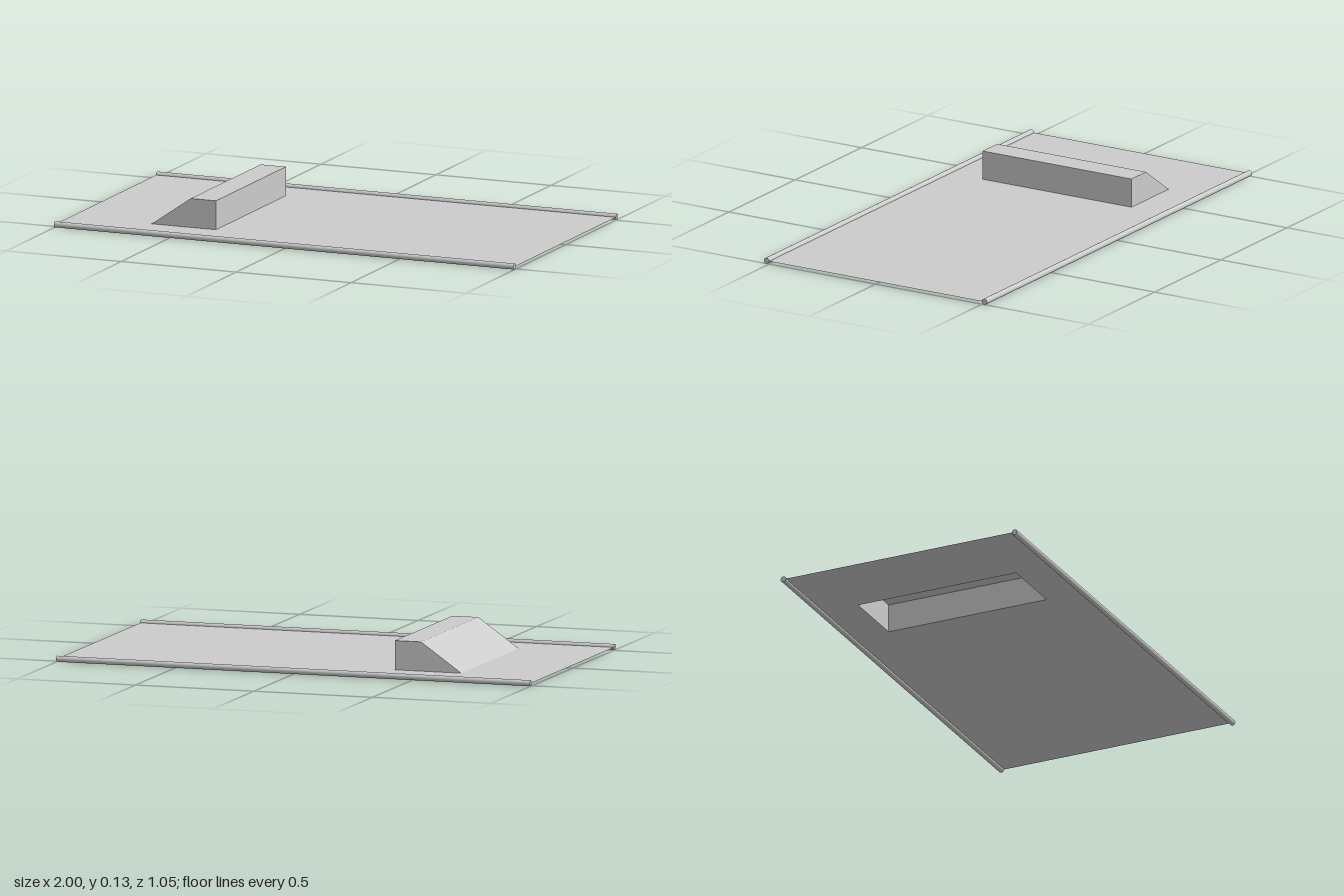
import * as THREE from 'three';

const Y = 0.012;        // sheet height, also rail radius
const RAIL_Z = 0.512;
const HALF = 0.35;      // half width of the raised ramp

// Ramp profile (x, y) from the foot of the slope to the foot of the drop
const PROFILE = [[-0.65, Y], [-0.48, 0.13], [-0.37, 0.13], [-0.37, Y]];

// Hollow ramp: slope, top, drop and two end walls, open underneath
function rampGeometry() {
  const positions = [];
  const quad = (a, b, c, d) => positions.push(...a, ...b, ...c, ...a, ...c, ...d);
  const at = (i, z) => [...PROFILE[i], z];
  for (let i = 0; i < 3; i++) {
    quad(at(i, HALF), at(i + 1, HALF), at(i + 1, -HALF), at(i, -HALF));
  }
  quad(...[0, 3, 2, 1].map(i => at(i, HALF)));
  quad(...[0, 1, 2, 3].map(i => at(i, -HALF)));
  const geometry = new THREE.BufferGeometry();
  geometry.setAttribute('position', new THREE.Float32BufferAttribute(positions, 3));
  geometry.computeVertexNormals();
  return geometry;
}

function rectangle(path, x0, x1, z) {
  return path.moveTo(x0, -z).lineTo(x1, -z).lineTo(x1, z).lineTo(x0, z).closePath();
}

export function createModel() {
  const model = new THREE.Group();
  model.name = 'rampBoard';
  const solid = new THREE.MeshStandardMaterial({ color: 0xcccccc });
  const thin = new THREE.MeshStandardMaterial({ color: 0xcccccc, side: THREE.DoubleSide });
  const add = (name, geometry, material) => {
    const mesh = new THREE.Mesh(geometry, material);
    mesh.name = name;
    model.add(mesh);
    return mesh;
  };

  // Thin floor sheet with an opening below the ramp
  const floor = rectangle(new THREE.Shape(), -1, 1, RAIL_Z);
  floor.holes.push(rectangle(new THREE.Path(), PROFILE[0][0], PROFILE[3][0], HALF));
  add('floorSheet', new THREE.ShapeGeometry(floor).rotateX(-Math.PI / 2), thin).position.y = Y;

  add('ramp', rampGeometry(), thin);

  // Round rails along both long edges
  for (const [name, side] of [['frontRail', 1], ['backRail', -1]]) {
    const rail = new THREE.CylinderGeometry(Y, Y, 2, 32).rotateZ(Math.PI / 2);
    add(name, rail, solid).position.set(0, Y, side * RAIL_Z);
  }
  return model;
}
